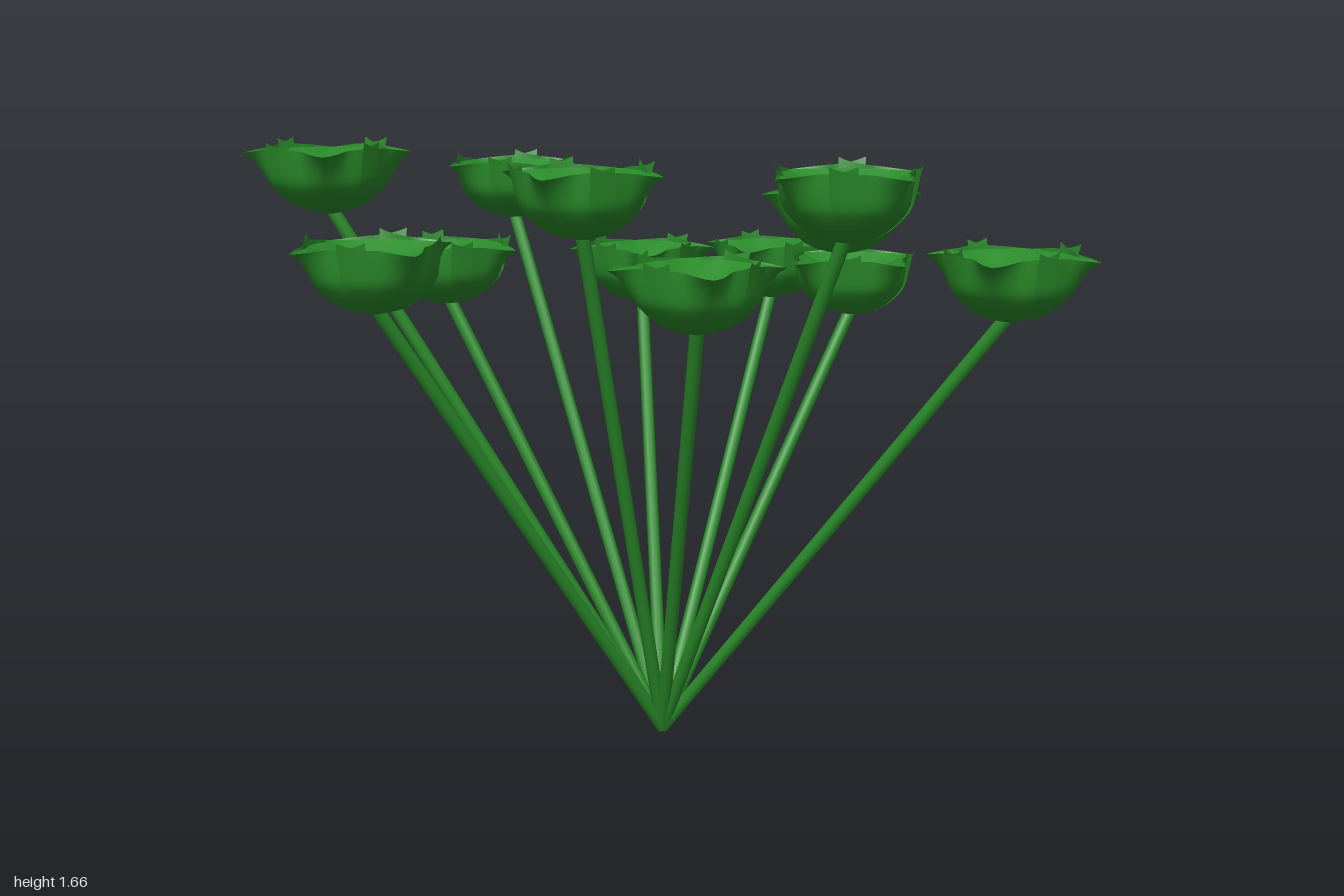
import * as THREE from 'three';
import { mergeGeometries } from 'three/addons/utils/BufferGeometryUtils.js';

const BASE = new THREE.Vector3(-0.01, 0.01, -0.1);

// Head positions: x, height of the bowl's bottom, z
const HEADS = [
  [-0.41, 1.13, -0.81], [-0.01, 1.13, -0.78], [0.24, 1.35, -0.51], [0.80, 1.23, -0.57],
  [-0.52, 1.14, -0.40], [-0.76, 1.39, -0.10], [0.71, 1.45, -0.10], [-0.59, 1.18, 0.23],
  [0.45, 1.22, 0.14], [0.22, 1.44, 0.32], [-0.45, 1.47, 0.66], [-0.01, 1.27, 0.77],
];

// Grid surface from a rule f(u, v) -> [x, y, z], u and v in 0..1
function surface(nu, nv, f) {
  const pos = [], idx = [];
  for (let j = 0; j <= nv; j++) {
    for (let i = 0; i <= nu; i++) pos.push(...f(i / nu, j / nv));
  }
  for (let j = 0; j < nv; j++) {
    for (let i = 0; i < nu; i++) {
      const a = j * (nu + 1) + i, b = a + 1, c = a + nu + 1, d = c + 1;
      idx.push(a, c, b, b, c, d);
    }
  }
  const g = new THREE.BufferGeometry();
  g.setAttribute('position', new THREE.Float32BufferAttribute(pos, 3));
  g.setIndex(idx);
  g.computeVertexNormals();
  return g;
}

// Bowl outline as radius, height
const outline = new THREE.SplineCurve(
  [[0, 0], [0.085, 0.022], [0.143, 0.075], [0.155, 0.12], [0.16, 0.172]].map(p => new THREE.Vector2(...p)));

// Four overlapping petals, each with a narrow curled tip and raised side edges
function petalsGeometry() {
  const petals = [];
  for (let k = 0; k < 4; k++) {
    petals.push(surface(20, 10, (u, v) => {
      const s = u * 2 - 1;
      const a = k * Math.PI / 2 + s * 0.98;
      const p = outline.getPoint(v);
      const tip = Math.max(0, 1 - Math.abs(s) / 0.36) * v ** 4;
      const edge = Math.abs(s) ** 4 * v ** 4;
      const r = p.x * (1 + 0.05 * s * v) + 0.06 * tip + 0.012 * edge;
      const y = p.y - 0.012 * tip + 0.02 * edge;
      return [r * Math.cos(a), y, r * Math.sin(a)];
    }));
  }
  return mergeGeometries(petals);
}

// Sagging four-pointed surface inside the petals
function cupGeometry() {
  return surface(48, 6, (u, v) => {
    const a = -u * Math.PI * 2;
    const off = Math.abs(Math.atan2(Math.sin(4 * a), Math.cos(4 * a))) / 4;
    const tip = Math.max(0, 1 - off / 0.35) * v ** 4;
    const r = 0.156 * v + 0.055 * tip;
    return [r * Math.cos(a), 0.085 + 0.08 * v ** 1.4 - 0.004 * tip, r * Math.sin(a)];
  });
}

export function createModel() {
  const model = new THREE.Group();
  model.name = 'flowerBunch';
  const green = new THREE.MeshStandardMaterial({ color: 0x2a8b2a });
  green.name = 'leaf green';
  green.side = THREE.DoubleSide;

  const petals = petalsGeometry();
  const cup = cupGeometry();
  const up = new THREE.Vector3(0, 1, 0);

  for (const [x, y, z] of HEADS) {
    const flower = new THREE.Group();
    flower.name = 'flower';

    // Stem from the shared base to the bottom of the bowl
    const dir = new THREE.Vector3(x, y + 0.02, z).sub(BASE);
    const stem = new THREE.Mesh(new THREE.CylinderGeometry(0.018, 0.018, dir.length(), 10), green);
    stem.name = 'stem';
    stem.position.copy(BASE).addScaledVector(dir, 0.5);
    stem.quaternion.setFromUnitVectors(up, dir.clone().normalize());

    // Upright head with one tip pointing outward
    const head = new THREE.Group();
    head.name = 'flowerHead';
    head.position.set(x, y, z);
    head.rotation.y = -Math.atan2(dir.z, dir.x);
    const petalMesh = new THREE.Mesh(petals, green);
    petalMesh.name = 'petals';
    const cupMesh = new THREE.Mesh(cup, green);
    cupMesh.name = 'innerCup';
    head.add(petalMesh, cupMesh);

    flower.add(stem, head);
    model.add(flower);
  }
  return model;
}
